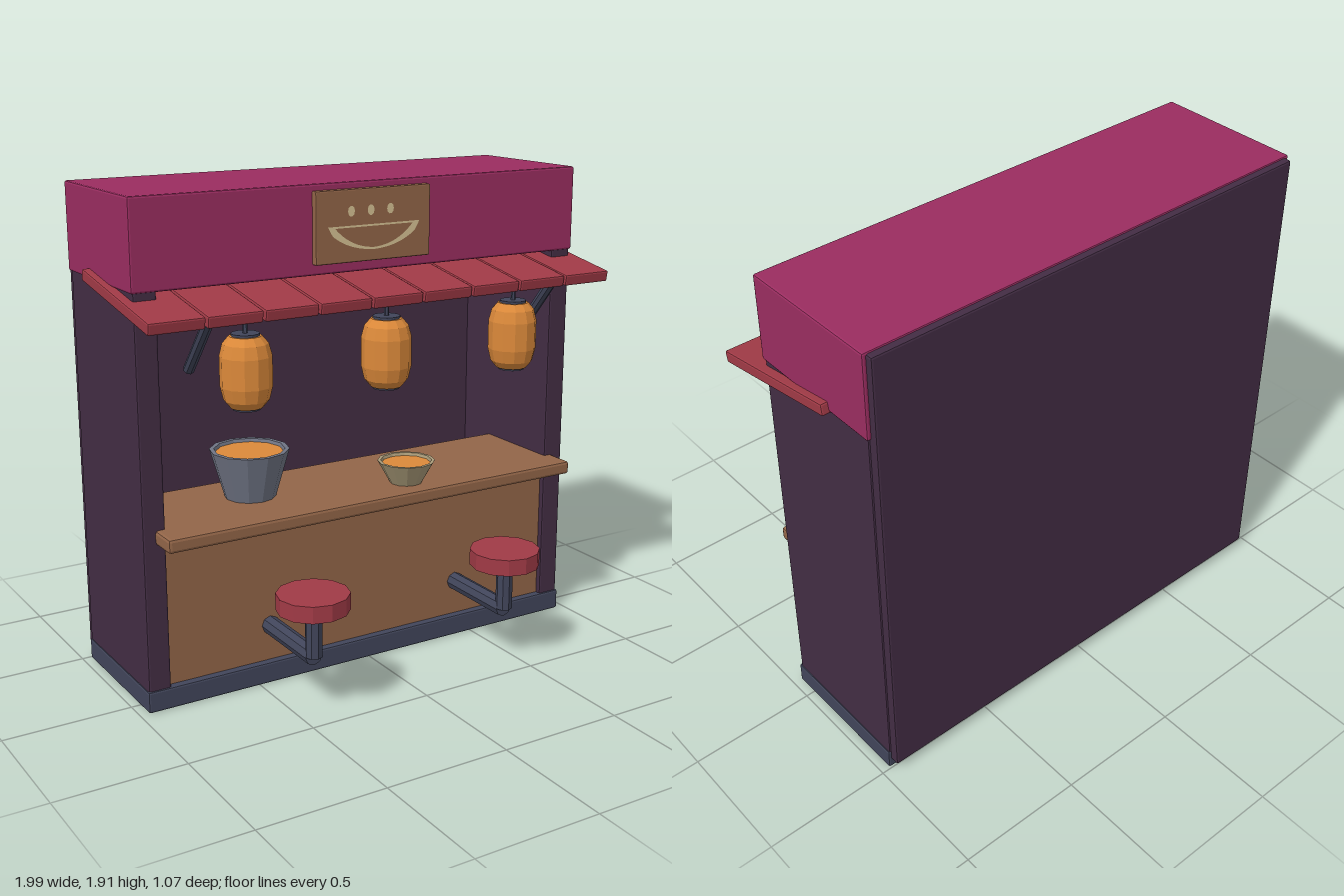
import * as THREE from 'three';
import { RoundedBoxGeometry } from 'three/addons/geometries/RoundedBoxGeometry.js';

const mat = (name, color, extra = {}) => {
  const m = new THREE.MeshStandardMaterial({ color, flatShading: true, ...extra });
  m.name = name;
  return m;
};

export function createModel() {
  const group = new THREE.Group();
  const plum = mat('plum walls', 0x432d44);
  const magenta = mat('magenta fascia', 0x9a2d60);
  const red = mat('red', 0xa03a46);
  const wood = mat('wood', 0x926548);
  const slate = mat('slate metal', 0x41455a);
  const orange = mat('orange', 0xdb893a);
  const grey = mat('grey pot', 0x707585, { side: THREE.DoubleSide });
  const clay = mat('clay bowl', 0xab9c7a, { side: THREE.DoubleSide });
  const cream = mat('cream paint', 0xd6c294);

  const add = (name, geometry, material, x = 0, y = 0, z = 0, parent = group) => {
    const m = new THREE.Mesh(geometry, material);
    m.name = name;
    m.position.set(x, y, z);
    parent.add(m);
    return m;
  };
  // softly bevelled box given by its limits on each axis
  const box = (name, material, [x0, x1], [y0, y1], [z0, z1], r = 0.008) =>
    add(name, new RoundedBoxGeometry(x1 - x0, y1 - y0, z1 - z0, 1, r), material,
      (x0 + x1) / 2, (y0 + y1) / 2, (z0 + z1) / 2);
  const lathe = (points, sides) =>
    new THREE.LatheGeometry(points.map(([r, y]) => new THREE.Vector2(r, y)), sides);
  // round bar between two points
  const bar = (name, a, b, r, sides = 8) => {
    const from = new THREE.Vector3(...a), to = new THREE.Vector3(...b);
    const dir = to.clone().sub(from);
    const m = add(name, new THREE.CylinderGeometry(r, r, dir.length(), sides), slate);
    m.position.copy(from).add(to).multiplyScalar(0.5);
    m.quaternion.setFromUnitVectors(new THREE.Vector3(0, 1, 0), dir.normalize());
    return m;
  };

  // shell of the stall
  box('base', slate, [-0.965, 0.965], [0, 0.085], [-0.495, 0.09]);
  box('backPanel', plum, [-0.953, 0.953], [0.04, 1.908], [-0.53, -0.488]);
  for (const s of [-1, 1]) {
    const x = s < 0 ? [-0.96, -0.87] : [0.87, 0.96];
    box('sideWall', plum, x, [0.07, 1.6], [-0.495, 0.083]);
  }
  box('roofFascia', magenta, [-0.968, 0.968], [1.58, 1.915], [-0.503, 0.088]);

  // counter
  box('counterFront', wood, [-0.88, 0.88], [0.07, 0.67], [0.02, 0.06]);
  box('counterTop', wood, [-0.91, 0.91], [0.655, 0.71], [-0.32, 0.2], 0.012);

  // awning of nine sloping planks
  const awning = new THREE.Group();
  awning.name = 'awning';
  awning.position.set(0, 1.546, -0.005);
  awning.rotation.x = 0.172;
  group.add(awning);
  const pitch = 2 / 9;
  for (let i = 0; i < 9; i++) {
    add('awningPlank', new RoundedBoxGeometry(pitch - 0.008, 0.045, 0.592, 1, 0.007), red,
      (i - 4) * pitch, 0, 0, awning);
  }
  for (const x of [-0.75, 0.75]) bar('awningBrace', [x, 1.285, 0.065], [x, 1.485, 0.235], 0.021);

  // sign board with a painted bowl-shaped crescent and three dots
  box('signBoard', wood, [-0.25, 0.25], [1.62, 1.89], [0.08, 0.113], 0.005);
  const crescent = new THREE.Shape();
  crescent.moveTo(-0.2, 0);
  crescent.lineTo(-0.18, -0.035);
  crescent.quadraticCurveTo(-0.11, -0.09, 0, -0.094);
  crescent.quadraticCurveTo(0.11, -0.09, 0.18, -0.035);
  crescent.lineTo(0.2, 0);
  crescent.closePath();
  const hollow = new THREE.Path();
  hollow.moveTo(-0.17, -0.007);
  hollow.quadraticCurveTo(-0.1, -0.082, 0, -0.086);
  hollow.quadraticCurveTo(0.1, -0.082, 0.17, -0.007);
  hollow.closePath();
  crescent.holes.push(hollow);
  add('paintedCrescent', new THREE.ShapeGeometry(crescent), cream, 0, 1.757, 0.115);
  for (const x of [-0.1, -0.015, 0.07]) {
    add('paintedDot', new THREE.CircleGeometry(0.02, 10), cream, x, 1.81, 0.115).scale.x = 0.75;
  }

  // hanging lanterns
  const lanternShape = lathe([[0, 1.157], [0.06, 1.157], [0.083, 1.185], [0.095, 1.235],
    [0.095, 1.345], [0.083, 1.39], [0.06, 1.417], [0, 1.417]], 12);
  const cap = new THREE.CylinderGeometry(0.052, 0.052, 0.016, 12);
  for (const x of [-0.59, 0, 0.59]) {
    add('lantern', lanternShape, orange, x, 0, 0.2);
    add('lanternCap', cap, slate, x, 1.157, 0.2);
    add('lanternCap', cap, slate, x, 1.418, 0.2);
    bar('lanternCord', [x, 1.42, 0.2], [x, 1.52, 0.2], 0.009, 6);
  }

  // pot and bowl, open and filled with broth
  const vessel = (name, material, x, z, r0, r1, h, wall) => {
    add(name, lathe([[0, 0], [r0, 0], [r1, h], [r1 - wall, h], [r1 - wall * 1.6, h - 0.03]], 12),
      material, x, 0.71, z);
    const broth = new THREE.CircleGeometry(r1 - wall * 1.3, 12);
    broth.rotateX(-Math.PI / 2);
    add(name + 'Broth', broth, orange, x, 0.71 + h - 0.012, z);
  };
  vessel('pot', grey, -0.43, -0.1, 0.1, 0.155, 0.19, 0.018);
  vessel('bowl', clay, 0.18, 0.07, 0.065, 0.115, 0.09, 0.013);

  // stools on bent pipes
  for (const x of [-0.437, 0.433]) {
    add('stoolSeat', new THREE.CylinderGeometry(0.138, 0.138, 0.065, 12), red, x, 0.448, 0.397);
    bar('stoolPost', [x, 0.23, 0.4], [x, 0.42, 0.4], 0.033);
    bar('stoolArm', [x, 0.23, 0.04], [x, 0.23, 0.4], 0.036);
  }
  return group;
}
